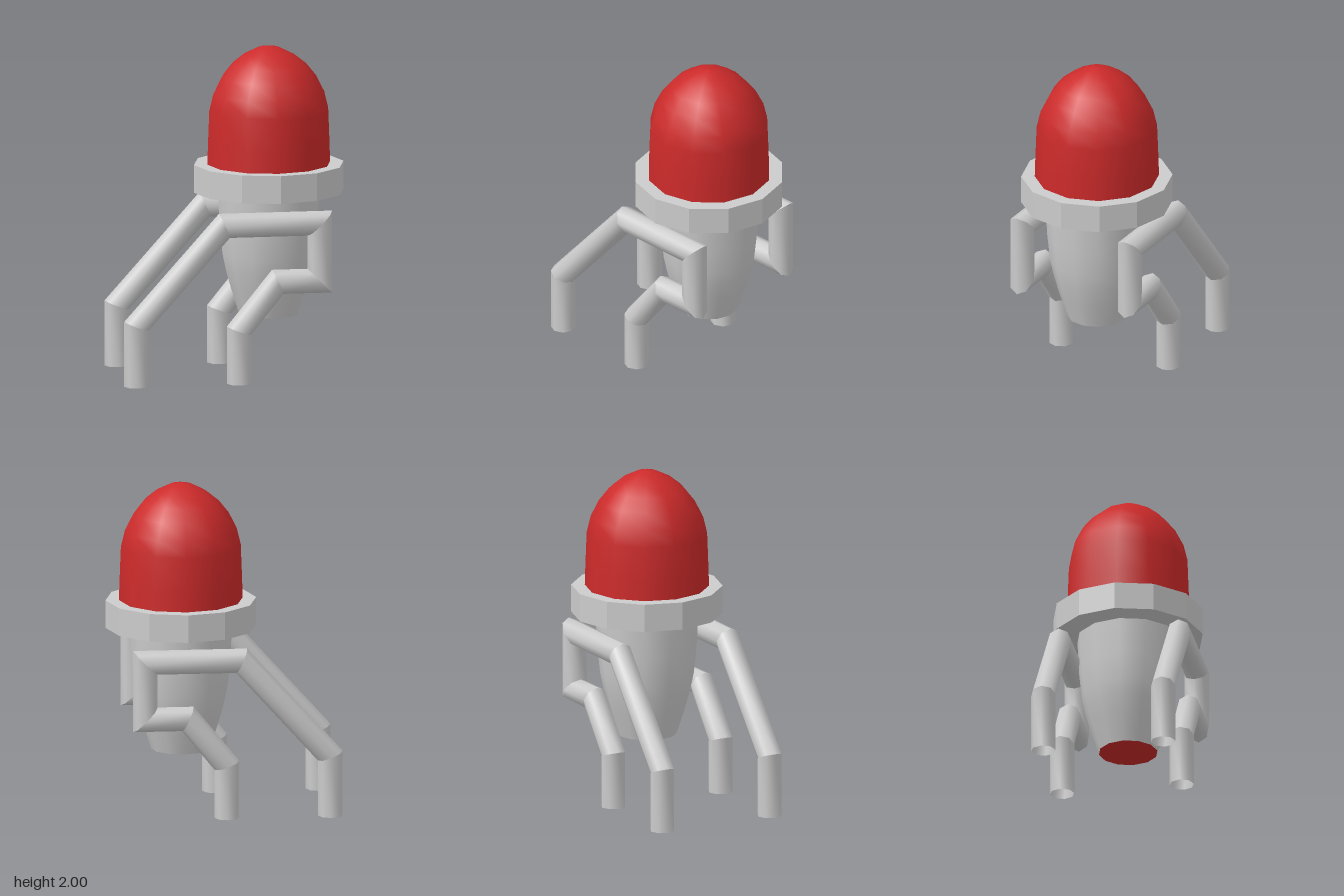
import * as THREE from 'three';

const AXIS_X = 0.243; // vertical axis of the lamp
const SIDES = 12;

const grey = new THREE.MeshStandardMaterial({ color: 0xcccccc });
const greyFlat = new THREE.MeshStandardMaterial({ color: 0xcccccc, flatShading: true });
const greyOpen = new THREE.MeshStandardMaterial({ color: 0xcccccc, side: THREE.DoubleSide });
const red = new THREE.MeshStandardMaterial({ color: 0xcc2a2a });

function addPart(parent, name, geometry, material, y = 0) {
  const mesh = new THREE.Mesh(geometry, material);
  mesh.name = name;
  mesh.position.y = y;
  parent.add(mesh);
  return mesh;
}

// Smooth turned shape from [radius, height] pairs, listed bottom to top
function turned(profile) {
  return new THREE.LatheGeometry(profile.map(([r, y]) => new THREE.Vector2(r, y)), SIDES);
}

// Mitred tube along a path in the xy plane: smooth around, sharp at each bend
function mitredTube(points, radius, sides) {
  const path = points.map(([x, y]) => new THREE.Vector2(x, y));
  const dirs = path.slice(1).map((p, i) => p.clone().sub(path[i]).normalize());
  const normals = dirs.map((d) => new THREE.Vector2(-d.y, d.x));

  const rings = path.map((p, i) => {
    const before = normals[Math.max(i - 1, 0)];
    const after = normals[Math.min(i, normals.length - 1)];
    const mitre = before.clone().add(after).normalize();
    mitre.multiplyScalar(radius / mitre.dot(after));
    return Array.from({ length: sides }, (_, k) => {
      const a = (k / sides) * Math.PI * 2;
      const c = Math.cos(a);
      return [p.x + mitre.x * c, p.y + mitre.y * c, radius * Math.sin(a)];
    });
  });

  // Each straight run has its own pair of rings so that bends stay crisp
  const positions = [];
  const index = [];
  for (let s = 0; s < dirs.length; s++) {
    const base = s * sides * 2;
    positions.push(...rings[s].flat(), ...rings[s + 1].flat());
    for (let k = 0; k < sides; k++) {
      const a = base + k;
      const b = base + ((k + 1) % sides);
      index.push(a, a + sides, b, b, a + sides, b + sides);
    }
  }
  const geometry = new THREE.BufferGeometry();
  geometry.setAttribute('position', new THREE.Float32BufferAttribute(positions, 3));
  geometry.setIndex(index);
  geometry.computeVertexNormals();
  return geometry;
}

export function createModel() {
  const model = new THREE.Group();
  model.name = 'indicatorLamp';

  const lamp = new THREE.Group();
  lamp.name = 'lamp';
  lamp.position.x = AXIS_X;
  model.add(lamp);

  // Red lens
  addPart(lamp, 'domeLens', turned([
    [0.376, 1.27], [0.372, 1.4], [0.364, 1.61], [0.34, 1.71], [0.29, 1.81],
    [0.23, 1.885], [0.155, 1.945], [0.065, 1.99], [0, 2.0],
  ]), red);

  // Collar under the lens
  addPart(lamp, 'collar', new THREE.CylinderGeometry(0.458, 0.458, 0.17, SIDES), greyFlat, 1.195);

  // Tapering socket with a red contact underneath
  addPart(lamp, 'socket', turned([
    [0.179, 0.355], [0.232, 0.52], [0.262, 0.63], [0.283, 0.73], [0.3, 0.89], [0.312, 1.12],
  ]), grey);
  const contact = new THREE.CircleGeometry(0.179, SIDES).rotateX(Math.PI / 2);
  addPart(lamp, 'bottomContact', contact, red, 0.355);

  // One bent wire frame on each side, ending in two open feet
  const legGeometry = mitredTube([
    [-0.628, 0], [-0.628, 0.37], [-0.09, 0.97], [0.495, 0.97],
    [0.495, 0.617], [0.237, 0.617], [0, 0.325], [0, 0],
  ], 0.075, 8);
  for (const [name, z] of [['frontLegFrame', 0.374], ['backLegFrame', -0.361]]) {
    addPart(model, name, legGeometry, greyOpen).position.z = z;
  }

  return model;
}
